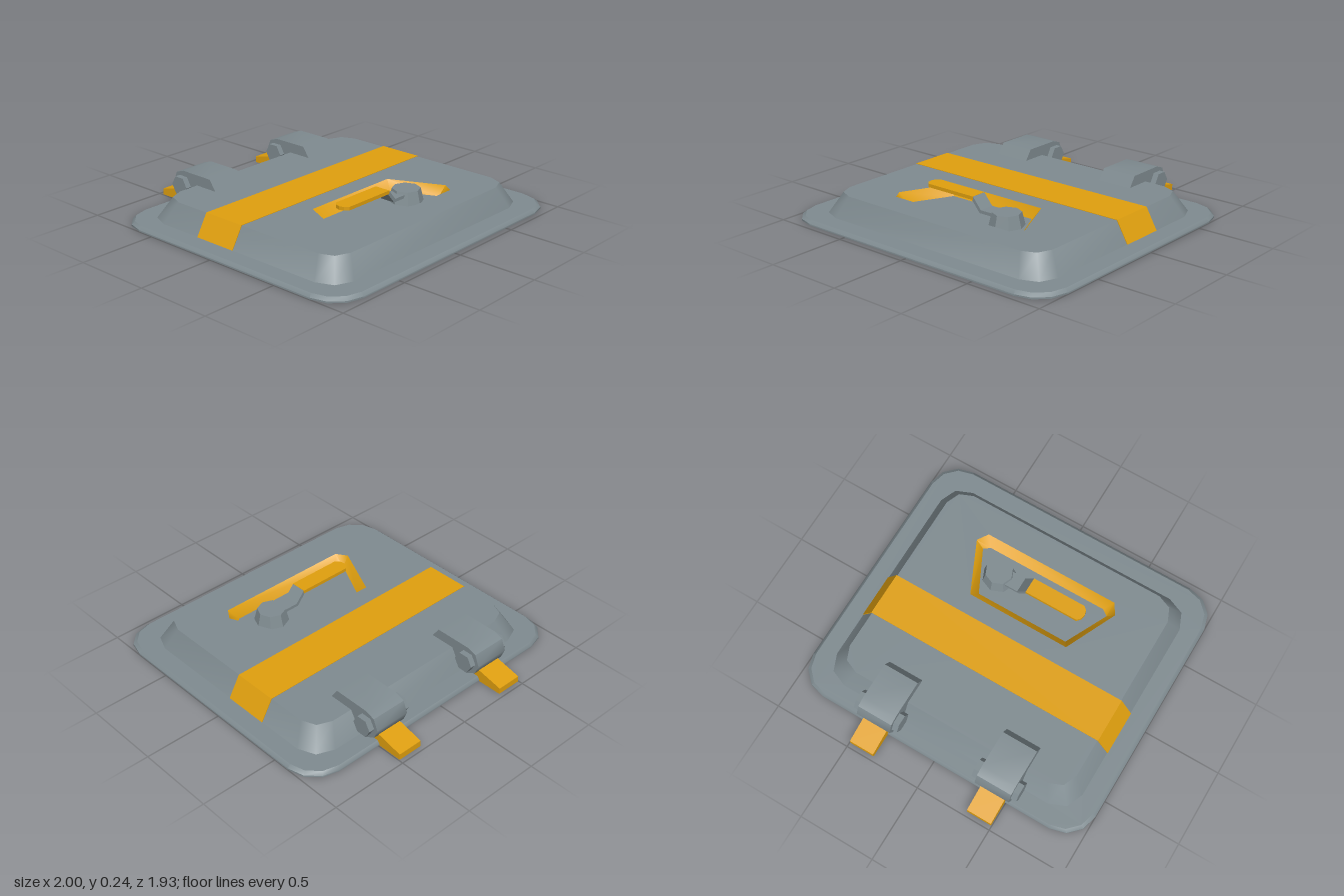
import * as THREE from 'three';
import { toCreasedNormals } from 'three/addons/utils/BufferGeometryUtils.js';

const material = (name, color) => new THREE.MeshStandardMaterial({ name, color });

// Rounded rectangle as [x, z] points, counter-clockwise seen from above
function ring(hx, zBack, zFront, r, seg) {
  const corners = [[hx - r, zBack + r], [r - hx, zBack + r], [r - hx, zFront - r], [hx - r, zFront - r]];
  return corners.flatMap(([cx, cz], k) => Array.from({ length: seg + 1 }, (_, i) => {
    const a = (k + i / seg) * Math.PI / 2;
    return [cx + r * Math.cos(a), cz - r * Math.sin(a)];
  }));
}

// Walls between outlines stacked as [points, y], facing outward (or inward)
function loft(levels, inward = false) {
  const pos = [];
  for (let l = 0; l + 1 < levels.length; l++) {
    const [[a, ya], [b, yb]] = [levels[l], levels[l + 1]];
    for (let i = 0; i < a.length; i++) {
      const j = (i + 1) % a.length;
      const p = [a[i][0], ya, a[i][1]], q = [a[j][0], ya, a[j][1]];
      const r = [b[j][0], yb, b[j][1]], s = [b[i][0], yb, b[i][1]];
      const faces = inward ? [p, r, q, p, s, r] : [p, q, r, p, r, s];
      pos.push(...faces.flat());
    }
  }
  const g = new THREE.BufferGeometry();
  g.setAttribute('position', new THREE.Float32BufferAttribute(pos, 3));
  return toCreasedNormals(g, 0.85);
}

// Flat face at height y, facing up or down, with optional hole
function cap(points, y, hole, up = true) {
  const s = up ? -1 : 1;
  const vec = (pts) => pts.map(([x, z]) => new THREE.Vector2(x, s * z));
  const shape = new THREE.Shape(vec(points));
  if (hole) shape.holes.push(new THREE.Path(vec(hole)));
  return new THREE.ShapeGeometry(shape).rotateX(s * Math.PI / 2).translate(0, y, 0);
}

// Prism of a 2D profile, centred along its depth
function prism(points, depth) {
  const shape = new THREE.Shape(points.map(([x, y]) => new THREE.Vector2(x, y)));
  return new THREE.ExtrudeGeometry(shape, { depth, bevelEnabled: false }).translate(0, 0, -depth / 2);
}

export function createModel() {
  const steel = material('steel grey', 0x7f8b90);
  const orange = material('safety orange', 0xdf9f0e);
  const under = material('pale underside', 0xd8cacb);

  const model = new THREE.Group();
  model.name = 'hatch';
  const add = (name, geometry, mat, parent = model) => {
    const mesh = new THREE.Mesh(geometry, mat);
    mesh.name = name;
    parent.add(mesh);
    return mesh;
  };

  // Outlines
  const flangeLow = ring(1, -0.81, 0.965, 0.2, 3);
  const flangeTop = ring(0.98, -0.795, 0.945, 0.19, 3);
  const domeLow = ring(0.87, -0.69, 0.83, 0.15, 2);
  const domeTop = ring(0.793, -0.613, 0.76, 0.125, 2);
  const recess = [[0.75, -0.475], [-0.75, -0.475], [-0.75, 0.62], [0.75, 0.62]];
  const pocketTop = [[0.34, 0.175], [-0.34, 0.175], [-0.495, 0.51], [-0.45, 0.58], [0.45, 0.58], [0.495, 0.51]];
  const pocketLow = [[0.31, 0.225], [-0.31, 0.225], [-0.445, 0.5], [-0.405, 0.53], [0.405, 0.53], [0.445, 0.5]];

  // Flange and raised panel
  add('flangeEdge', loft([[flangeLow, 0.002], [flangeLow, 0.012], [flangeTop, 0.03]]), steel);
  add('flangeTop', cap(flangeTop, 0.03, domeLow), steel);
  add('panelSides', loft([[domeLow, 0.03], [domeTop, 0.16]]), steel);
  add('panelTop', cap(domeTop, 0.16, pocketTop), steel);

  // Underside with shallow recess
  add('underside', cap(flangeLow, 0.002, recess, false), under);
  add('recessWalls', loft([[recess, 0.002], [recess, 0.05]], true), orange);
  add('recessCeiling', cap(recess, 0.05, null, false), steel);

  // Handle pocket
  add('pocketWalls', loft([[pocketLow, 0.1], [pocketTop, 0.16]], true), orange);
  add('pocketFloor', cap(pocketLow, 0.1), steel);

  // Painted stripe wrapped over the panel
  const stripe = [[0.874, 0.031], [0.797, 0.163], [-0.797, 0.163], [-0.874, 0.031],
    [-0.868, 0.031], [-0.791, 0.158], [0.791, 0.158], [0.868, 0.031]];
  add('stripe', prism(stripe, 0.29).translate(0, 0, -0.095), orange);

  // Turning handle
  const handle = new THREE.Group();
  handle.name = 'handle';
  handle.position.z = 0.387;
  model.add(handle);
  add('handleHub', toCreasedNormals(new THREE.CylinderGeometry(0.088, 0.108, 0.08, 8), 0.5), steel, handle)
    .position.set(0.26, 0.14, 0.003);
  const stem = [[0.04, 0.235], [0.03, 0.215], [0.09, 0.145], [0.22, 0.145], [0.22, 0.165], [0.1, 0.165]];
  add('handleStem', prism(stem, 0.1), steel, handle);
  const grip = [[0.04, -0.052], [0.04, 0.052], [-0.315, 0.052], [-0.338, 0.03], [-0.345, 0], [-0.338, -0.03], [-0.315, -0.052]];
  add('handleGrip', prism(grip, 0.022).rotateX(-Math.PI / 2).translate(0, 0.225, 0), orange, handle);

  // Hinges, profiles given as [z, y]
  const arm = [[-0.45, 0.158], [-0.497, 0.226], [-0.735, 0.226], [-0.795, 0.205], [-0.825, 0.135],
    [-0.8, 0.072], [-0.735, 0.036], [-0.69, 0.04], [-0.655, 0.08], [-0.6, 0.158]];
  const tab = [[-0.97, 0], [-0.97, 0.04], [-0.8, 0.08], [-0.7, 0.08], [-0.68, 0.025], [-0.55, 0.025], [-0.55, 0]];
  for (const side of [-1, 1]) {
    const hinge = new THREE.Group();
    hinge.name = side > 0 ? 'leftHinge' : 'rightHinge';
    hinge.position.x = side * 0.412;
    model.add(hinge);
    add('hingeArm', toCreasedNormals(prism(arm, 0.232).rotateY(-Math.PI / 2), 0.8), steel, hinge);
    add('hingeTab', prism(tab, 0.165).rotateY(-Math.PI / 2), orange, hinge);
    const pin = new THREE.CylinderGeometry(0.065, 0.065, 0.305, 6).rotateZ(Math.PI / 2);
    add('hingePin', toCreasedNormals(pin, 0.5), steel, hinge).position.set(0, 0.135, -0.735);
  }
  return model;
}
